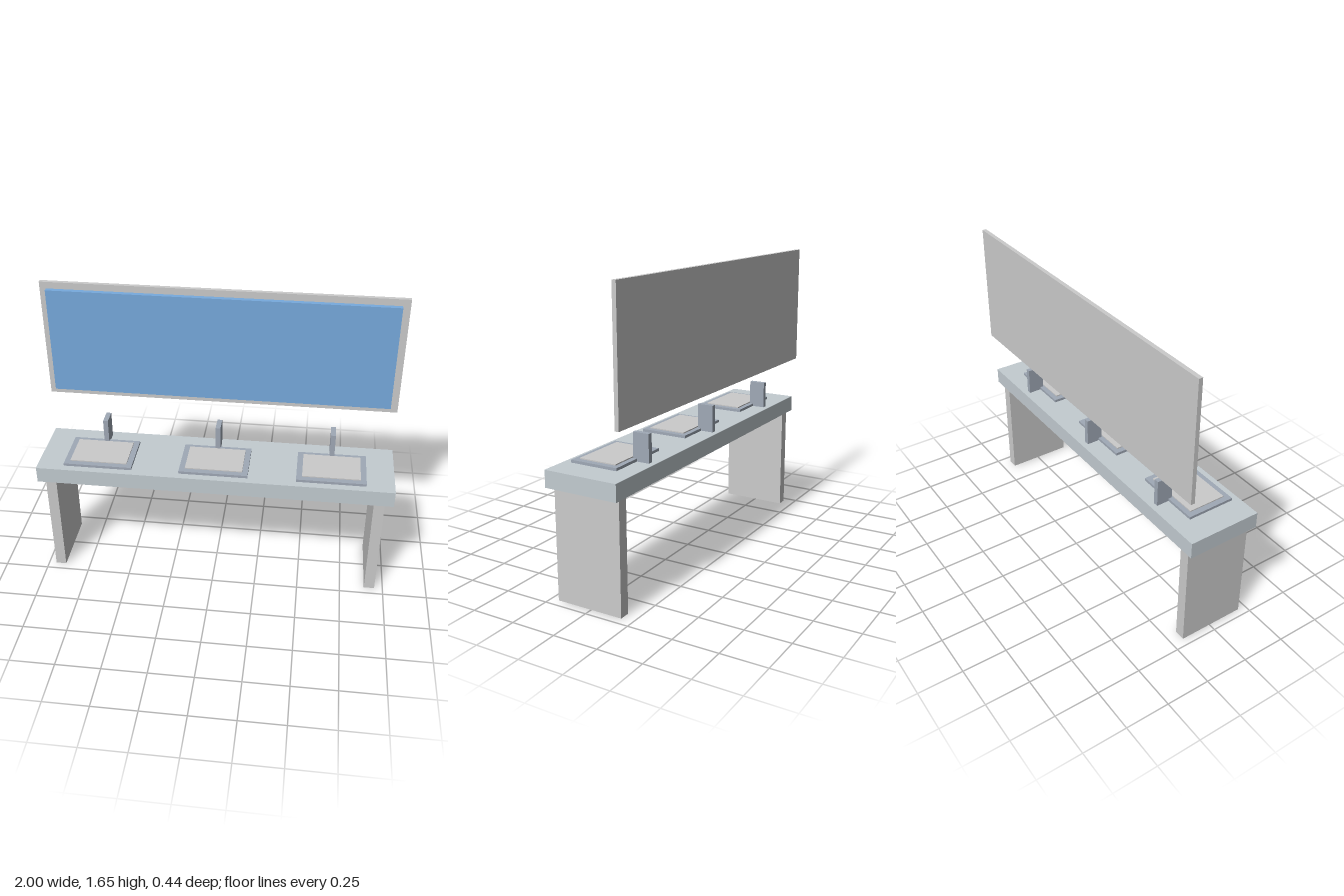
import * as THREE from 'three';

const material = (color) => new THREE.MeshStandardMaterial({ color });

// Box given by its min and max along each axis
function slab(name, [x0, x1], [y0, y1], [z0, z1], mat) {
  const mesh = new THREE.Mesh(new THREE.BoxGeometry(x1 - x0, y1 - y0, z1 - z0), mat);
  mesh.position.set((x0 + x1) / 2, (y0 + y1) / 2, (z0 + z1) / 2);
  mesh.name = name;
  return mesh;
}

// Sink rim, basin panel and upright faucet, centred on x = 0
function createWashStation(metal, grey) {
  const station = new THREE.Group();
  station.add(
    slab('sinkRim', [-0.193, 0.193], [0.711, 0.726], [-0.094, 0.18], metal),
    slab('basin', [-0.161, 0.161], [0.72, 0.732], [-0.066, 0.149], grey),
    slab('faucet', [-0.014, 0.014], [0.711, 0.864], [-0.166, -0.073], metal),
  );
  return station;
}

export function createModel() {
  const grey = material(0xcccccc);
  const stone = material(0xc3ccd1);
  const metal = material(0xa0a9b6);
  const glass = material(0x77aadd);

  const model = new THREE.Group();
  model.name = 'washStand';

  // Countertop on two panel legs
  model.add(slab('countertop', [-1, 1], [0.618, 0.711], [-0.199, 0.222], stone));
  for (const [name, x] of [['rightLeg', -0.927], ['leftLeg', 0.922]]) {
    model.add(slab(name, [x - 0.03, x + 0.03], [0, 0.618], [-0.181, 0.204], grey));
  }

  // Three wash stations along the counter
  [-0.657, -0.003, 0.651].forEach((x, i) => {
    const station = createWashStation(metal, grey);
    station.name = `washStation${i + 1}`;
    station.position.x = x;
    model.add(station);
  });

  // Wall mirror: backing board with the glass in front
  model.add(
    slab('mirrorBacking', [-1, 1], [0.965, 1.655], [-0.222, -0.199], grey),
    slab('mirrorGlass', [-0.963, 0.958], [1.002, 1.617], [-0.199, -0.172], glass),
  );
  return model;
}
